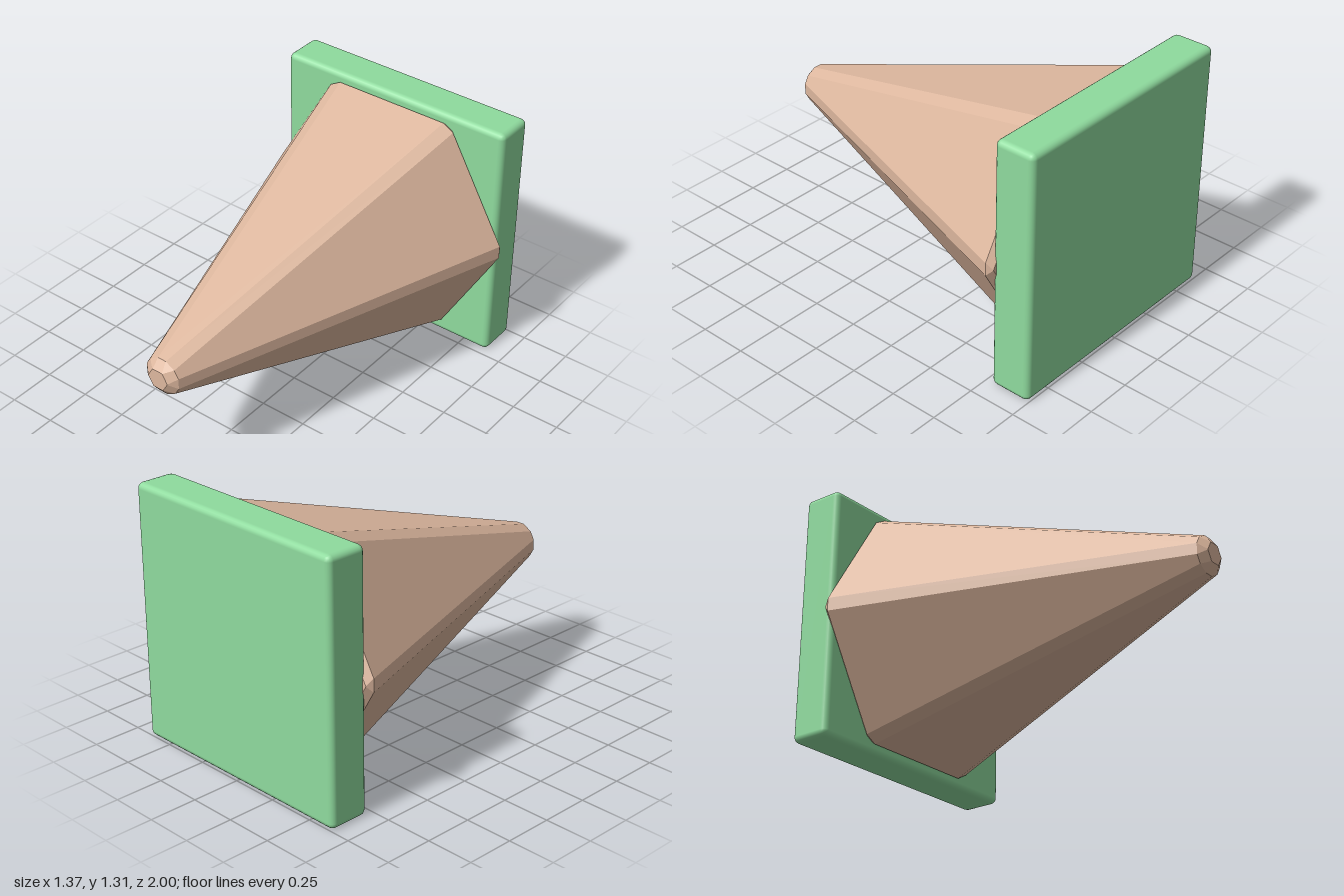
import * as THREE from 'three';
import { RoundedBoxGeometry } from 'three/addons/geometries/RoundedBoxGeometry.js';

const CENTER_Y = 0.655;

// Hexagon whose six corners are cut off: r = distance to the cut, w = half its width
function cutHexagon(r, w, z) {
  const points = [];
  for (let i = 0; i < 6; i++) {
    const a = (i * Math.PI) / 3;
    const c = Math.cos(a), s = Math.sin(a);
    for (const side of [-w, w]) {
      points.push(new THREE.Vector3(r * c - side * s, r * s + side * c, z));
    }
  }
  return points;
}

// Skin a list of rings running from back to front and cap both ends
function loft(rings) {
  const positions = [];
  const tri = (...corners) => corners.forEach((p) => positions.push(p.x, p.y, p.z));
  const n = rings[0].length;
  for (let k = 0; k < rings.length - 1; k++) {
    const a = rings[k], b = rings[k + 1];
    for (let i = 0; i < n; i++) {
      const j = (i + 1) % n;
      tri(a[i], a[j], b[j]);
      tri(a[i], b[j], b[i]);
    }
  }
  const back = rings[0], front = rings[rings.length - 1];
  for (let i = 1; i < n - 1; i++) {
    tri(back[0], back[i + 1], back[i]);
    tri(front[0], front[i], front[i + 1]);
  }
  const geometry = new THREE.BufferGeometry();
  geometry.setAttribute('position', new THREE.Float32BufferAttribute(positions, 3));
  geometry.computeVertexNormals();
  return geometry;
}

export function createModel() {
  const group = new THREE.Group();
  group.name = 'wallSpike';

  const green = new THREE.MeshStandardMaterial({ color: 0x8fdb9e });
  green.name = 'green';
  const tan = new THREE.MeshStandardMaterial({ color: 0xdeb89f });
  tan.name = 'tan';

  // Square backing plate with softened edges
  const plate = new THREE.Mesh(new RoundedBoxGeometry(1.3, 1.31, 0.215, 2, 0.03), green);
  plate.name = 'backPlate';
  plate.position.set(0, CENTER_Y, -0.8925);
  group.add(plate);

  // Six-sided spike with bevelled edges, base and tip
  const spike = new THREE.Mesh(
    loft([
      cutHexagon(0.668, 0.001, -0.807),
      cutHexagon(0.685, 0.034, -0.775),
      cutHexagon(0.095, 0.028, 0.965),
      cutHexagon(0.057, 0.001, 1.0),
    ]),
    tan
  );
  spike.name = 'spike';
  spike.position.y = CENTER_Y;
  group.add(spike);

  return group;
}
